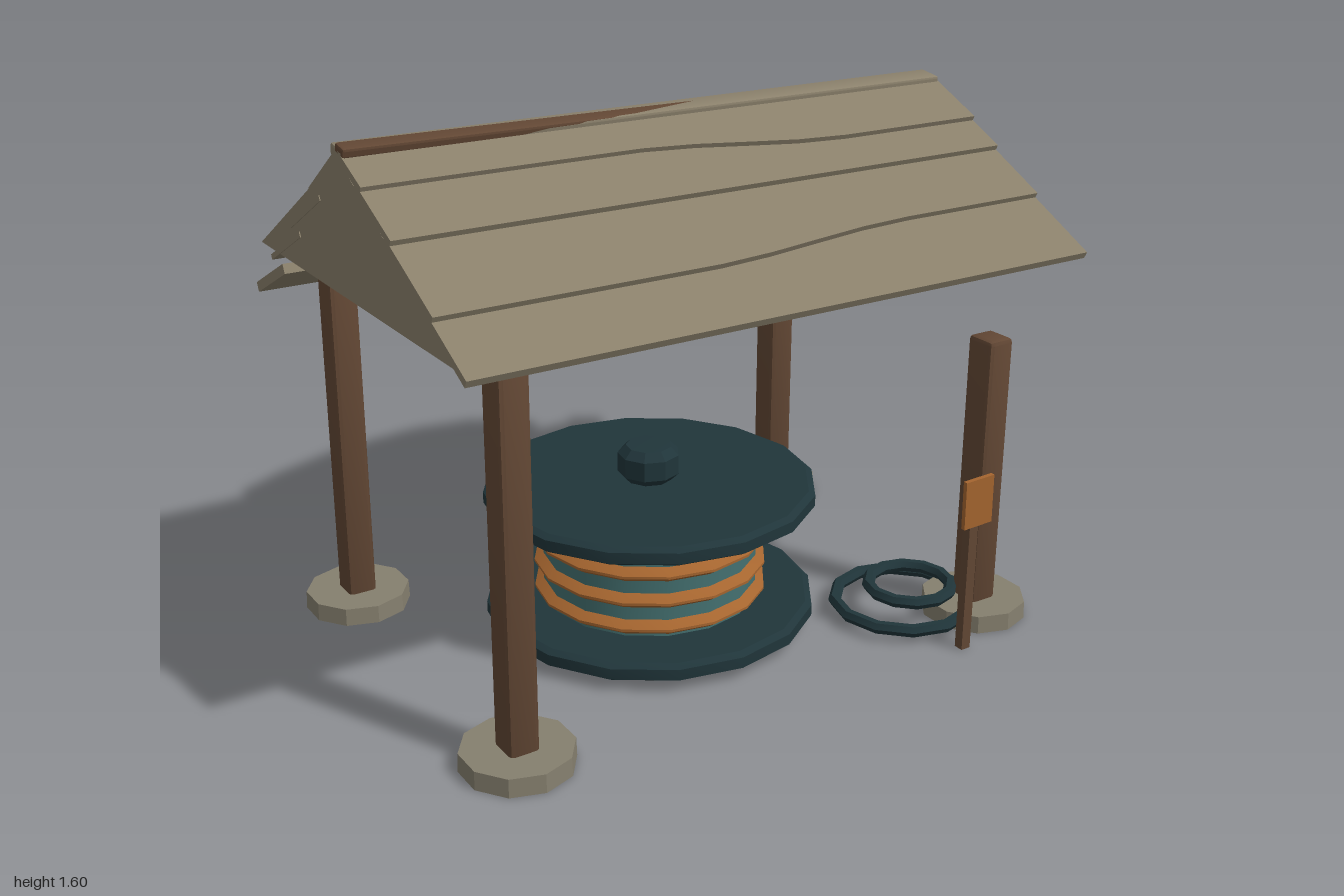
import * as THREE from 'three';
import { toCreasedNormals } from 'three/addons/utils/BufferGeometryUtils.js';
import { RoundedBoxGeometry } from 'three/addons/geometries/RoundedBoxGeometry.js';

const paint = (name, color) => {
  const m = new THREE.MeshStandardMaterial({ color });
  m.name = name;
  return m;
};

export function createModel() {
  const model = new THREE.Group();
  model.name = 'shelteredSpool';
  const slate = paint('weathered board', 0x8a806b);
  const stone = paint('stone', 0x857f6e);
  const wood = paint('brown wood', 0x624734);
  const dark = paint('dark metal', 0x20353a);
  const teal = paint('teal drum', 0x447070);
  const orange = paint('orange wood', 0xa5652f);

  const add = (name, geo, mat, x = 0, y = 0, z = 0, parent = model) => {
    const mesh = new THREE.Mesh(toCreasedNormals(geo, 0.5), mat);
    mesh.name = name;
    mesh.position.set(x, y, z);
    parent.add(mesh);
    return mesh;
  };
  const lathe = (pts, sides) =>
    new THREE.LatheGeometry(pts.map(p => new THREE.Vector2(...p)), sides);

  // Roof board: upper edge [z, y], lower edge [z, y], with the lower edge drifting along its slope
  const board = (name, top, bottom, thick, drift = 0, half = 0.995) => {
    const geo = new THREE.BoxGeometry(half * 2, thick, 1, 12, 1, 1);
    const dz = bottom[0] - top[0], dy = bottom[1] - top[1], len = Math.hypot(dz, dy);
    const up = Math.abs(dz) / len, out = (-dy / len) * Math.sign(dz);
    const p = geo.attributes.position;
    for (let i = 0; i < p.count; i++) {
      const lower = (p.getZ(i) > 0) === (dz > 0);
      const s = THREE.MathUtils.smoothstep(p.getX(i), -0.2, 0.5);
      const t = lower ? 1 + (drift * s) / Math.abs(dz) : 0;
      const y = p.getY(i);
      p.setXYZ(i, p.getX(i), top[1] + dy * t + y * up, top[0] + dz * t + y * out);
    }
    add(name, geo, slate);
  };
  // Front slope, lapped from the eave up
  board('frontEaveBoard', [0.5, 1.292], [0.735, 1.17], 0.022);
  board('frontLowerBoard', [0.3, 1.412], [0.565, 1.277], 0.022, -0.045);
  board('frontMiddleBoard', [0.13, 1.512], [0.34, 1.41], 0.022);
  board('frontRidgeBoard', [0.03, 1.573], [0.17, 1.508], 0.022, 0.06);
  // Back slope, with the eave board slipped down
  board('backRidgeBoard', [0.02, 1.572], [-0.185, 1.432], 0.022);
  board('backMiddleBoard', [-0.11, 1.43], [-0.35, 1.3], 0.016, 0, 0.998);
  board('backLowerBoard', [-0.28, 1.29], [-0.525, 1.165], 0.016, 0, 0.998);
  board('backEaveBoard', [-0.44, 1.15], [-0.68, 1.033], 0.03);

  // Gable ends
  const gable = new THREE.Shape([[-0.7, 1.19], [0.61, 1.19], [-0.03, 1.568]]
    .map(p => new THREE.Vector2(...p)));
  for (const x of [-0.995, 0.95]) {
    const geo = new THREE.ExtrudeGeometry(gable, { depth: 0.045, bevelEnabled: false });
    geo.rotateY(Math.PI / 2);
    add('gable', geo, slate, x);
  }

  // Ridge cap and the beam rising out of it at one end
  const cap = add('ridgeCap', new RoundedBoxGeometry(1.99, 0.035, 0.08, 1, 0.008), slate, 0, 1.576, 0.022);
  cap.rotation.x = 0.15;
  const beam = add('ridgeBeam', new RoundedBoxGeometry(1.99, 0.03, 0.055, 1, 0.008), wood, 0, 1.577, 0.032);
  beam.rotation.set(0.2, 0.006, -0.009);

  // Loose flat patch hovering over the back slope
  const outline = [[-0.34, -0.48], [-0.16, -0.62], [0.08, -0.73], [0.42, -0.77], [0.67, -0.7],
    [0.85, -0.58], [0.91, -0.44], [0.83, -0.29], [0.66, -0.16], [0.44, -0.085], [0.12, -0.05],
    [-0.13, -0.11], [-0.34, -0.27]];
  const patch = new THREE.ExtrudeGeometry(
    new THREE.Shape(outline.map(([x, z]) => new THREE.Vector2(x, -z))),
    { depth: 0.016, bevelEnabled: false });
  patch.rotateX(-Math.PI / 2);
  const pp = patch.attributes.position;
  for (let i = 0; i < pp.count; i++) {
    pp.setY(i, pp.getY(i) + 1.565 + (pp.getZ(i) + 0.05) * 0.4 + (pp.getX(i) - 0.27) * 0.04);
  }
  add('roofPatch', patch, slate);

  // Posts on round footings; the front left post is snapped short
  for (const x of [-0.81, 0.805]) {
    for (const z of [0.57, -0.51]) {
      const h = x > 0 && z > 0 ? 0.91 : 1.13;
      add('post', new RoundedBoxGeometry(0.09, h - 0.02, 0.1, 1, 0.014), wood, x, h / 2 + 0.01, z);
      add('footing', new THREE.CylinderGeometry(0.16, 0.162, 0.055, 10), stone, x, 0.0275, z);
    }
  }

  // Spool: two flanges, a teal core and four orange hoops
  const spool = new THREE.Group();
  spool.name = 'spool';
  spool.position.set(-0.055, 0, 0.03);
  model.add(spool);
  for (const y of [0.028, 0.397]) {
    add('flange', lathe([[0, 0], [0.49, 0], [0.51, 0.012], [0.51, 0.046], [0.49, 0.058], [0, 0.06]], 16),
      dark, 0, y, 0, spool);
  }
  add('core', new THREE.CylinderGeometry(0.332, 0.332, 0.33, 16), teal, 0, 0.24, 0, spool);
  for (let i = 0; i < 4; i++) {
    add('hoop', lathe([[0.325, -0.028], [0.36, -0.004], [0.36, 0.004], [0.325, 0.028]], 16),
      orange, 0, 0.117 + i * 0.0865, 0, spool);
  }
  add('knob', lathe([[0, 0], [0.07, 0], [0.095, 0.025], [0.095, 0.085], [0.07, 0.11], [0, 0.112]], 9),
    dark, -0.005, 0.455, 0.002, spool);

  // Coils lying on the ground
  const coil = (r, x, y, z) => {
    const geo = new THREE.TorusGeometry(r - 0.02, 0.02, 6, 12);
    geo.rotateX(Math.PI / 2);
    add('coil', geo, dark, x, y, z);
  };
  coil(0.23, 0.61, 0.04, 0.455);
  coil(0.15, 0.645, 0.08, 0.45);

  // Small sign on a stake
  add('signStake', new THREE.BoxGeometry(0.032, 0.41, 0.03), wood, 0.616, 0.205, 0.735);
  const plate = add('signPlate', new THREE.BoxGeometry(0.105, 0.152, 0.014), orange, 0.617, 0.488, 0.757);
  plate.rotation.set(0.02, 0, 0.03);
  return model;
}
